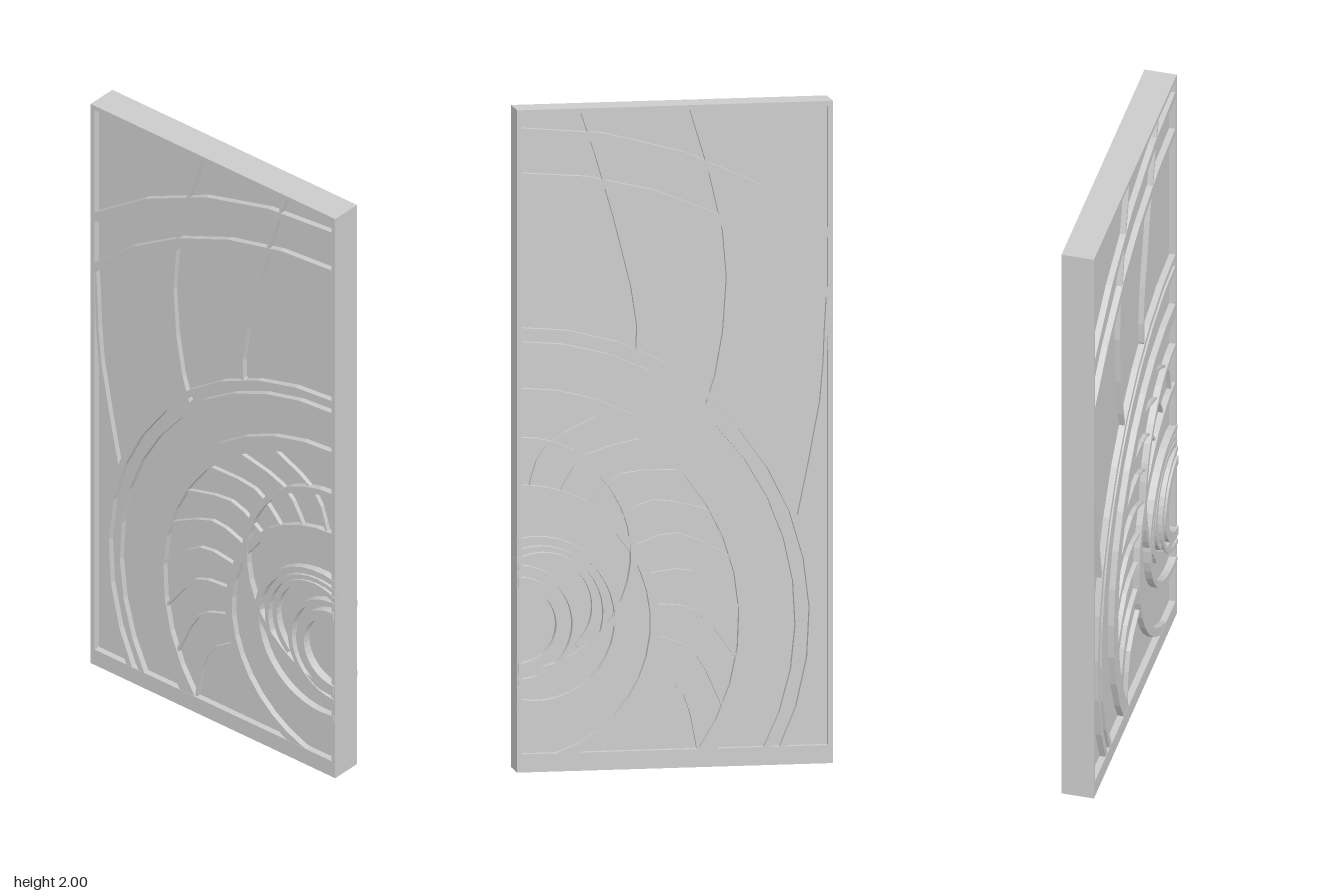
import * as THREE from 'three';

const W = 0.478, H = 2, D = 0.05;      // half width, height, half depth
const CX = 0.475, CY = 0.44;           // common centre of the rings
const SIDE = 0.015, BOTTOM = 0.055;    // frame bar widths

export function createModel() {
  const group = new THREE.Group();
  const mat = new THREE.MeshStandardMaterial({ color: 0xcccccc, flatShading: true });

  const add = (name, geo) => {
    const mesh = new THREE.Mesh(geo, mat);
    mesh.name = name;
    group.add(mesh);
  };
  const box = (name, x0, x1, y0, y1, z) => {
    const g = new THREE.BoxGeometry(x1 - x0, y1 - y0, 2 * z);
    g.translate((x0 + x1) / 2, (y0 + y1) / 2, 0);
    add(name, g);
  };
  // Closed outline extruded to both faces
  const slab = (name, points, z) => {
    const g = new THREE.ExtrudeGeometry(new THREE.Shape(points), { depth: 2 * z, bevelEnabled: false });
    g.translate(0, 0, -z);
    add(name, g);
  };
  // Curved strip that ends inside the frame bars
  const arc = (name, cx, cy, r, width, z, endAngle) => {
    const start = Math.acos(Math.min(1, (0.474 - cx) / r));
    let end = 2 * Math.PI - start;
    if (cx - r < -0.468) end = Math.acos((-0.468 - cx) / r);
    else if (cy - r < 0.03) end = Math.PI + Math.asin((cy - 0.03) / r);
    if (endAngle) end = endAngle;
    const n = Math.max(4, Math.round((end - start) / 0.165));
    const outer = [], inner = [];
    for (let i = 0; i <= n; i++) {
      const a = start + (end - start) * i / n;
      const at = (q) => new THREE.Vector2(cx + q * Math.cos(a), cy + q * Math.sin(a));
      outer.push(at(r + width / 2));
      inner.unshift(at(r - width / 2));
    }
    slab(name, [...outer, ...inner], z);
  };
  // Thin curved rib through a few points
  const rib = (name, pts, width, z) => {
    const curve = new THREE.SplineCurve(pts.map(([x, y]) => new THREE.Vector2(x, y)));
    const a = [], b = [];
    for (let i = 0; i <= 6; i++) {
      const p = curve.getPoint(i / 6), t = curve.getTangent(i / 6);
      const nrm = new THREE.Vector2(-t.y, t.x).multiplyScalar(width / 2);
      a.push(p.clone().add(nrm));
      b.unshift(p.clone().sub(nrm));
    }
    slab(name, [...a, ...b], z);
  };

  // Frame and recessed panel
  box('leftStile', W - SIDE, W, 0, H, D);
  box('rightStile', -W, -W + SIDE, 0, H, D);
  box('topRail', -W + SIDE, W - SIDE, H - SIDE, H, D);
  box('bottomRail', -W + SIDE, W - SIDE, 0, BOTTOM, D);
  box('panel', -W + SIDE, W - SIDE, BOTTOM, H - SIDE, 0.03);

  // Concentric strips: radius, width
  for (const [r, w] of [[1.492, 0.028], [1.357, 0.026], [0.893, 0.02], [0.85, 0.02], [0.695, 0.05], [0.415, 0.026]])
    arc('ringStrip', CX, CY, r, w, 0.049);

  // Offset circles and inner hub rings
  arc('offsetRing', CX, 0.65, 0.352, 0.02, 0.0505);
  arc('innerRing', 0.42, 0.453, 0.248, 0.02, 0.0525);
  arc('crescent', 0.4, 0.495, 0.158, 0.018, 0.0515, 4.0);
  arc('crescent', 0.41, 0.475, 0.2, 0.014, 0.051, 3.75);
  arc('hubRing', CX, 0.445, 0.172, 0.016, 0.054);
  arc('hubRing', CX, 0.445, 0.13, 0.03, 0.056);

  // Long ribs across the outer bands
  const longRibs = [
    [[-0.05, 1.99], [-0.135, 1.695], [-0.162, 1.475], [-0.14, 1.237], [-0.1, 1.095]],
    [[0.28, 1.99], [0.209, 1.77], [0.128, 1.46], [0.108, 1.3], [0.125, 1.245]],
    [[-0.465, 1.42], [-0.458, 1.3], [-0.444, 1.09], [-0.377, 0.75]],
  ];
  for (const pts of longRibs) rib('longRib', pts, 0.01, 0.047);

  // Swirling short ribs around the spiral
  for (let i = 0; i < 9; i++) {
    const a0 = THREE.MathUtils.degToRad(95 + i * 13);
    const pts = [0, 0.5, 1].map((t) => {
      const a = a0 + 0.3 * t * t, r = 0.42 + 0.26 * t;
      return [CX + r * Math.cos(a), CY + r * Math.sin(a)];
    }).filter(([, y]) => y > 0.02);
    if (pts.length > 1) rib('shortRib', pts, 0.008, 0.044);
  }
  return group;
}
